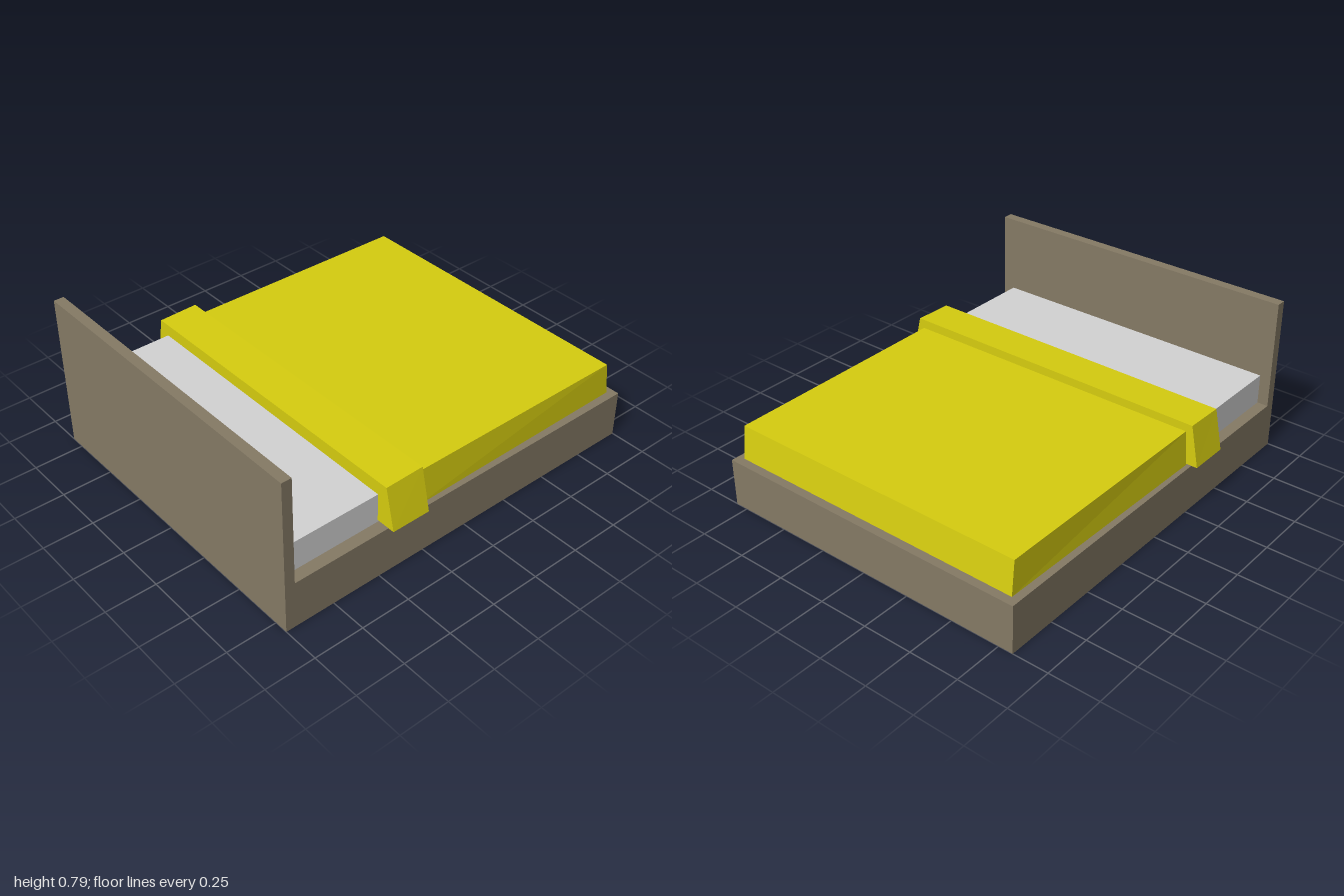
import * as THREE from 'three';

const mat = (name, color) => {
  const m = new THREE.MeshStandardMaterial({ color });
  m.name = name;
  return m;
};

// Box from min and max corners
function block(name, material, [x0, y0, z0], [x1, y1, z1]) {
  const mesh = new THREE.Mesh(new THREE.BoxGeometry(x1 - x0, y1 - y0, z1 - z0), material);
  mesh.position.set((x0 + x1) / 2, (y0 + y1) / 2, (z0 + z1) / 2);
  mesh.name = name;
  return mesh;
}

// Box whose corners are placed by a rule: corner(right, top, front) -> [x, y, z]
function draped(name, material, corner) {
  const box = new THREE.BoxGeometry(1, 1, 1);
  const p = box.attributes.position;
  for (let i = 0; i < p.count; i++) {
    p.setXYZ(i, ...corner(p.getX(i) > 0, p.getY(i) > 0, p.getZ(i) > 0));
  }
  const geometry = box.toNonIndexed();
  geometry.computeVertexNormals();
  const mesh = new THREE.Mesh(geometry, material);
  mesh.name = name;
  return mesh;
}

export function createModel() {
  const wood = mat('brown wood', 0x857a65);
  const sheet = mat('pale grey sheet', 0xd3d3d3);
  const cloth = mat('yellow cloth', 0xd6cd0f);

  const bed = new THREE.Group();
  bed.name = 'bed';

  // Frame and headboard
  bed.add(block('bedFrame', wood, [-1, 0, -0.823], [1, 0.24, 0.817]));
  bed.add(block('headboard', wood, [-1, 0.24, -0.823], [-0.95, 0.785, 0.817]));

  // Mattress
  bed.add(block('mattress', sheet, [-0.95, 0.24, -0.768], [0.9, 0.39, 0.757]));

  // Blanket, flaring slightly towards its hem
  bed.add(draped('blanket', cloth, (right, top, front) => {
    const x = right ? (top ? 0.94 : 0.96) : -0.27;
    const y = top ? (right ? 0.41 : 0.416) : 0.243;
    const half = top ? (right ? 0.779 : 0.785) : (right ? 0.782 : 0.798);
    return [x, y, (front ? half : -half) - 0.004];
  }));

  // Folded band hanging over both sides
  bed.add(draped('blanketFold', cloth, (right, top, front) => {
    const x = right ? -0.26 : -0.46;
    const y = top ? (right ? 0.458 : 0.453) + (front ? 0.004 : -0.002) : 0.25;
    const z = top ? (front ? 0.807 : -0.82) : (front ? 0.856 : -0.86);
    return [x, y, z];
  }));

  return bed;
}
